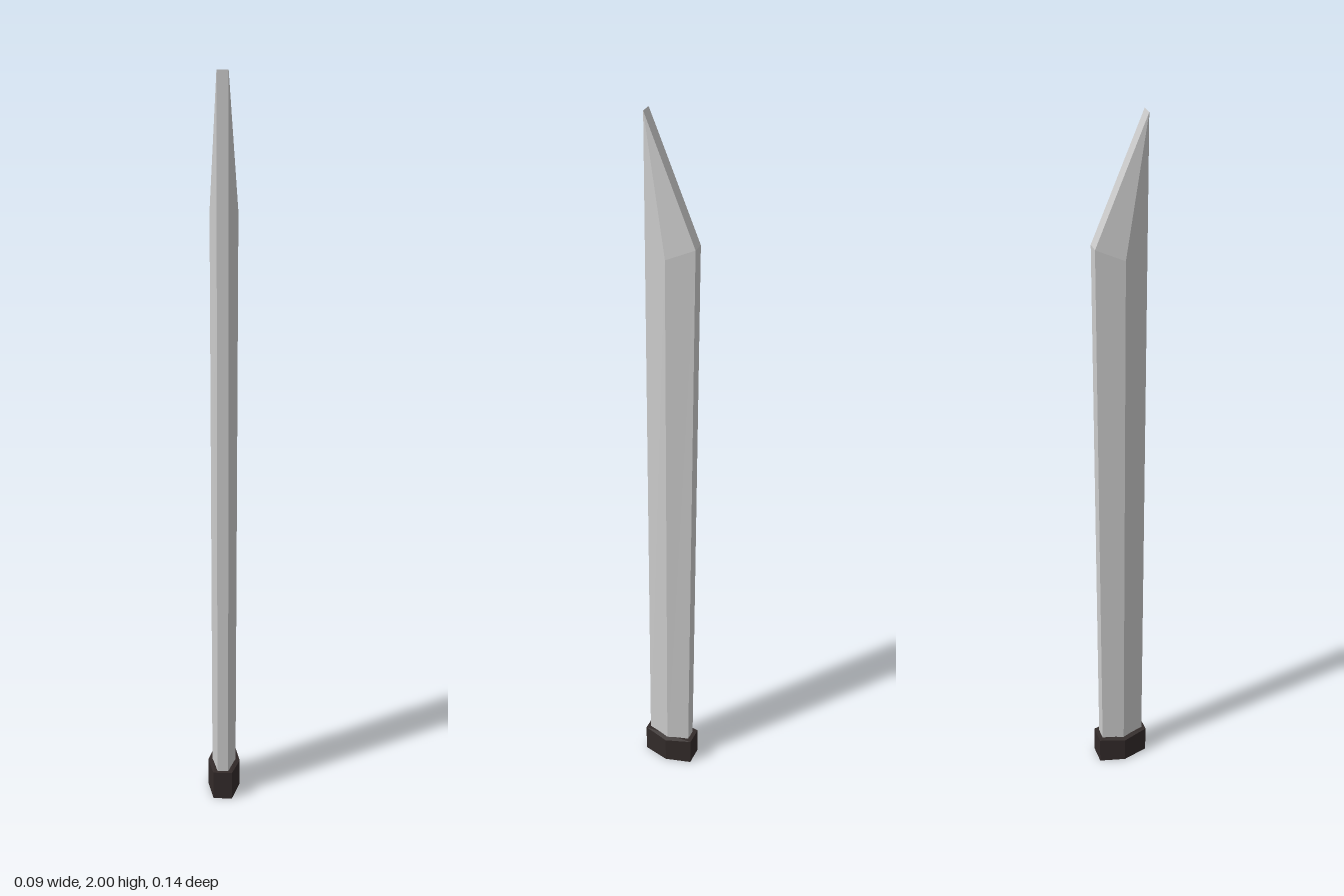
import * as THREE from 'three';

// Six-sided ring, counter-clockwise from above: front, ridge, back, then mirrored.
// Each point is [half width, y, z].
function ring(front, ridge, back) {
  const half = [front, ridge, back];
  const mirrored = half.map(([x, y, z]) => [-x, y, z]).reverse();
  return [...half, ...mirrored].map((p) => new THREE.Vector3(...p));
}

const CAP = [[0, 1, 2], [0, 2, 3], [0, 3, 5], [5, 3, 4]];

function toMesh(name, triangles, color) {
  const geometry = new THREE.BufferGeometry().setFromPoints(triangles);
  geometry.computeVertexNormals();
  const mesh = new THREE.Mesh(geometry, new THREE.MeshStandardMaterial({ color, flatShading: true }));
  mesh.name = name;
  return mesh;
}

// Walls between two rings, closed by a cap on top
function prism(name, bottom, top, color) {
  const tris = [];
  for (let i = 0; i < 6; i++) {
    const j = (i + 1) % 6;
    tris.push(bottom[i], bottom[j], top[j], bottom[i], top[j], top[i]);
  }
  for (const [a, b, c] of CAP) tris.push(top[a], top[b], top[c]);
  return toMesh(name, tris, color);
}

export function createModel() {
  const model = new THREE.Group();
  model.name = 'bladeWithCollar';

  // Blade: slanted tip, side ridges bending in towards the point
  model.add(prism('blade',
    ring([0.015, 0.02, 0.063], [0.033, 0.02, 0], [0.016, 0.02, -0.06]),
    ring([0.014, 2, 0.063], [0.035, 1.66, 0.002], [0.015, 1.69, -0.066]),
    0xcccccc));

  // Dark collar around the base, its top dipping slightly at the ridges
  const base = ring([0.026, 0, 0.072], [0.045, 0, 0], [0.026, 0, -0.072]);
  model.add(prism('collar', base,
    ring([0.026, 0.086, 0.072], [0.045, 0.08, 0], [0.026, 0.086, -0.072]),
    0x332b2a));

  // Grey underside
  const under = CAP.flatMap(([a, b, c]) => [base[a], base[c], base[b]]);
  model.add(toMesh('underside', under, 0xcccccc));

  return model;
}
